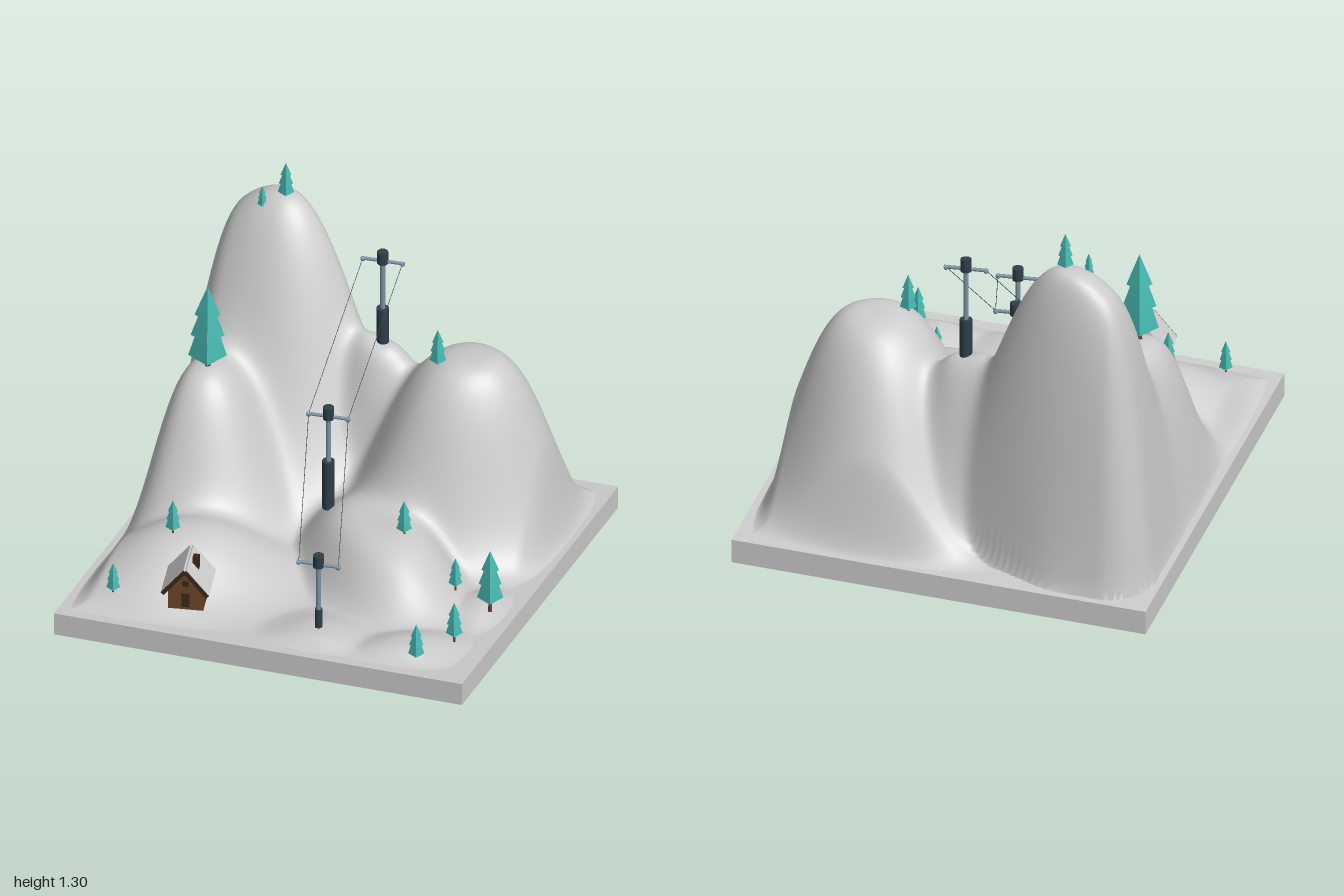
import * as THREE from 'three';

const mat = (color, flatShading = false) => new THREE.MeshStandardMaterial({ color, flatShading });
const grey = mat(0xcccccc), flatGrey = mat(0xcccccc, true);
const teal = mat(0x45b5ae, true), bark = mat(0x6b4030, true);
const wood = mat(0x6a4526, true), darkWood = mat(0x3b2618, true);
const steel = mat(0x7d93a3), darkSteel = mat(0x2f3e48);

// Tilted, slightly skewed base: u runs back corner -> right corner, v back -> left
const corner = [-0.04, -1], edgeU = [1.04, 0.915], edgeV = [-0.96, 1.08];
const toXZ = (u, v) => [0, 1].map((i) => corner[i] + u * edgeU[i] + v * edgeV[i]);
const plane = (x, z) => 0.205 - 0.045 * x + 0.1 * z;
const THICK = 0.08;

// Unit axes along the two base edges
const E1 = [0.754, 0.659], E2 = [-0.667, 0.744];

// Distances from the rear-left and rear-right edges, and the base widths across them
const edgeDistances = (x, z) => {
  const px = x - corner[0], pz = z - corner[1];
  return [px * 0.746 + pz * 0.666, -px * 0.661 + pz * 0.75];
};
const WIDTH_A = 1.385, WIDTH_B = 1.44;

// One hill: separate spread for each of the four sides, p sets how blunt it is
function hill(dx, dz, height, [xn, xp, zn, zp], p) {
  const r = Math.hypot(dx / (dx < 0 ? xn : xp), dz / (dz < 0 ? zn : zp));
  return height * Math.exp(-Math.pow(r, p));
}

// Steep rounded falloff over a distance d
const drop = (d, width) => 1 - Math.pow(1 - THREE.MathUtils.clamp(d / width, 0, 1), 3);

// Cliff towards the two rear edges with a rounded rear corner
function cliff(x, z) {
  const R = 0.15, [da, db] = edgeDistances(x, z), a = da - 0.025, b = db - 0.025;
  return drop(a < R && b < R ? R - Math.hypot(R - a, R - b) : Math.min(a, b), 0.17);
}

// Cliff on the right flank of the peak
const flank = (x, z) => drop(-0.888 * (x - 0.14) + 0.46 * (z + 0.87), 0.17);

// Soft fade to nothing along the whole border
function border(x, z, width) {
  const [a, b] = edgeDistances(x, z);
  return THREE.MathUtils.smoothstep(Math.min(a, b, WIDTH_A - a, WIDTH_B - b), 0.01, width);
}

function relief(x, z) {
  const c = cliff(x, z), f = border(x, z, 0.1), px = x - 0.07, pz = z + 0.63;
  const hills = [
    c * flank(x, z) * hill(px * E1[0] + pz * E1[1], px * E2[0] + pz * E2[1], 1.05, [0.5, 0.38, 0.6, 0.35], 2.2), // peak
    c * hill(x + 0.29, z + 0.39, 0.57, [0.27, 0.24, 0.3, 0.26], 2.4), // left shoulder
    f * hill(x - 0.48, z + 0.01, 0.657, [0.35, 0.28, 0.36, 0.275], 3.2), // right hill
    f * hill(x - 0.27, z + 0.29, 0.58, [0.16, 0.16, 0.15, 0.15], 3), // saddle
    f * hill(x - 0.07, z - 0.17, 0.21, [0.21, 0.22, 0.33, 0.37], 4), // low front hill
    f * hill(x + 0.5, z + 0.02, 0.19, [0.3, 0.3, 0.24, 0.24], 2.4), // low left hill
    f * hill(x + 0.04, z - 0.72, 0.045, [0.17, 0.17, 0.12, 0.12], 2.5),
    f * hill(x - 0.28, z - 0.55, 0.045, [0.12, 0.12, 0.12, 0.12], 2.5),
    f * hill(x + 0.27, z - 0.53, 0.04, [0.15, 0.15, 0.15, 0.15], 2.5),
  ];
  return Math.pow(hills.reduce((s, h) => s + Math.pow(h, 4), 0), 0.25);
}

// Maps a unit geometry onto the base outline; height(x, z, y) gives the new y
function mapToBase(geo, height) {
  const pos = geo.attributes.position;
  for (let i = 0; i < pos.count; i++) {
    const [x, z] = toXZ(pos.getX(i) + 0.5, pos.getZ(i) + 0.5);
    pos.setXYZ(i, x, height(x, z, pos.getY(i)), z);
  }
  geo.computeVertexNormals();
  return geo;
}

function add(parent, name, geo, material, x = 0, y = 0, z = 0) {
  const mesh = new THREE.Mesh(geo, material);
  mesh.name = name;
  mesh.position.set(x, y, z);
  parent.add(mesh);
  return mesh;
}

// Thin rod between two points
function rod(parent, name, from, to, radius, material) {
  const a = new THREE.Vector3(...from), b = new THREE.Vector3(...to);
  const mesh = add(parent, name, new THREE.CylinderGeometry(radius, radius, a.distanceTo(b), 8), material);
  mesh.position.copy(a).lerp(b, 0.5);
  mesh.quaternion.setFromUnitVectors(new THREE.Vector3(0, 1, 0), b.sub(a).normalize());
}

// Three stacked four-sided tiers on a short trunk
function makeTree(x, z, base, top) {
  const tree = new THREE.Group(), h = top - base;
  tree.name = 'tree';
  tree.position.set(x, base, z);
  tree.rotation.y = -0.4;
  add(tree, 'trunk', new THREE.CylinderGeometry(0.03 * h, 0.035 * h, 0.3 * h, 6), bark, 0, 0.05 * h, 0);
  // [bottom, top, bottom radius, top radius] as fractions of the height
  [[0.15, 0.42, 0.2, 0.12], [0.4, 0.68, 0.175, 0.08], [0.65, 1, 0.135, 0]].forEach(([y0, y1, r0, r1]) =>
    add(tree, 'foliage', new THREE.CylinderGeometry(r1 * h, r0 * h, (y1 - y0) * h, 4), teal, 0, (y0 + y1) / 2 * h, 0));
  return tree;
}

// Lift pylon: thick foot, thin pole, crossbar and cap
function makePylon([x, z, base, footTop, bar, footRadius]) {
  const pylon = new THREE.Group();
  pylon.name = 'pylon';
  const post = (name, y0, y1, r, m) =>
    add(pylon, name, new THREE.CylinderGeometry(r, r, y1 - y0, 16), m, x, (y0 + y1) / 2, z);
  post('foot', base - 0.04, footTop, footRadius, darkSteel);
  post('pole', footTop, bar, 0.0085, steel);
  post('cap', bar - 0.008, bar + 0.035, 0.018, darkSteel);
  rod(pylon, 'crossbar', [x - 0.058, bar, z - 0.042], [x + 0.058, bar, z + 0.042], 0.006, steel);
  for (const s of [-1, 1])
    add(pylon, 'pulley', new THREE.SphereGeometry(0.008, 10, 8), steel, x + s * 0.053, bar - 0.003, z + s * 0.038);
  return pylon;
}

function makeHouse() {
  const house = new THREE.Group();
  house.name = 'house';
  house.position.set(-0.595, 0.315, 0.225);
  house.rotation.y = Math.atan2(-0.5, 0.85);
  const W = 0.057, wall = 0.07, apex = 0.14, L = 0.12;
  // Gabled walls
  const shape = new THREE.Shape();
  [[-W, -0.01], [W, -0.01], [W, wall], [0, apex], [-W, wall]].forEach(([x, y], i) =>
    i ? shape.lineTo(x, y) : shape.moveTo(x, y));
  add(house, 'walls', new THREE.ExtrudeGeometry(shape, { depth: L, bevelEnabled: false }), wood, 0, 0, -L / 2);
  // Two roof slopes
  const slope = Math.atan2(apex - wall, W), len = Math.hypot(apex - wall, W) + 0.025;
  for (const s of [-1, 1]) {
    const roof = add(house, 'roof', new THREE.BoxGeometry(len, 0.012, L + 0.03), flatGrey,
      s * Math.cos(slope) * len / 2, apex + 0.006 - Math.sin(slope) * len / 2, 0);
    roof.rotation.z = -s * slope;
    const trim = add(house, 'roofTrim', new THREE.BoxGeometry(len, 0.013, 0.006), darkWood,
      roof.position.x, roof.position.y - 0.002, L / 2 + 0.016);
    trim.rotation.z = -s * slope;
  }
  add(house, 'chimney', new THREE.BoxGeometry(0.02, 0.06, 0.02), darkWood, 0.025, 0.13, 0);
  add(house, 'door', new THREE.BoxGeometry(0.026, 0.05, 0.006), darkWood, 0, 0.026, L / 2);
  const pane = add(house, 'window', new THREE.CylinderGeometry(0.012, 0.012, 0.006, 12), darkWood, 0, 0.088, L / 2);
  pane.rotation.x = Math.PI / 2;
  return house;
}

export function createModel() {
  const model = new THREE.Group();
  model.name = 'mountainResort';

  // Ground: slab, hills on top, shallow bulge underneath
  add(model, 'slab', mapToBase(new THREE.BoxGeometry(1, 1, 1),
    (x, z, y) => plane(x, z) + (y - 0.5) * THICK), flatGrey);
  add(model, 'terrain', mapToBase(new THREE.PlaneGeometry(0.995, 0.995, 150, 150).rotateX(-Math.PI / 2),
    (x, z) => plane(x, z) + relief(x, z) - 0.004), grey);
  add(model, 'underside', mapToBase(new THREE.PlaneGeometry(0.98, 0.98, 60, 60).rotateX(Math.PI / 2),
    (x, z) => Math.max(0, plane(x, z) - THICK + 0.003
      - border(x, z, 0.08) * hill(x - 0.08, z + 0.6, 0.05, [0.55, 0.65, 0.6, 0.8], 3))), grey);

  // Trees: x, z, foot height, tip height
  [[-0.04, 0.8, 0.3, 0.43], [0.11, 0.75, 0.31, 0.445], [0.29, 0.605, 0.3, 0.51], [0.22, 0.48, 0.31, 0.42],
    [0.115, 0.3, 0.43, 0.555], [0.36, -0.03, 0.81, 0.945], [0.065, -0.605, 1.17, 1.3], [-0.01, -0.62, 1.14, 1.22],
    [-0.29, -0.385, 0.74, 1.05], [-0.56, 0, 0.415, 0.535], [-0.8, 0.09, 0.3, 0.41],
  ].forEach((t) => model.add(makeTree(...t)));

  // Lift: x, z, ground, top of foot, crossbar height, foot radius
  const pylons = [[-0.267, 0.525, 0.32, 0.375, 0.545, 0.012],
    [-0.023, -0.01, 0.41, 0.55, 0.72, 0.02], [0.273, -0.29, 0.75, 0.89, 1.07, 0.02]];
  pylons.forEach((p) => model.add(makePylon(p)));
  for (let i = 0; i < 2; i++)
    for (const s of [-1, 1]) {
      const end = ([x, z, , , bar]) => [x + s * 0.053, bar, z + s * 0.038];
      rod(model, 'cable', end(pylons[i]), end(pylons[i + 1]), 0.001, darkSteel);
    }

  model.add(makeHouse());
  return model;
}
